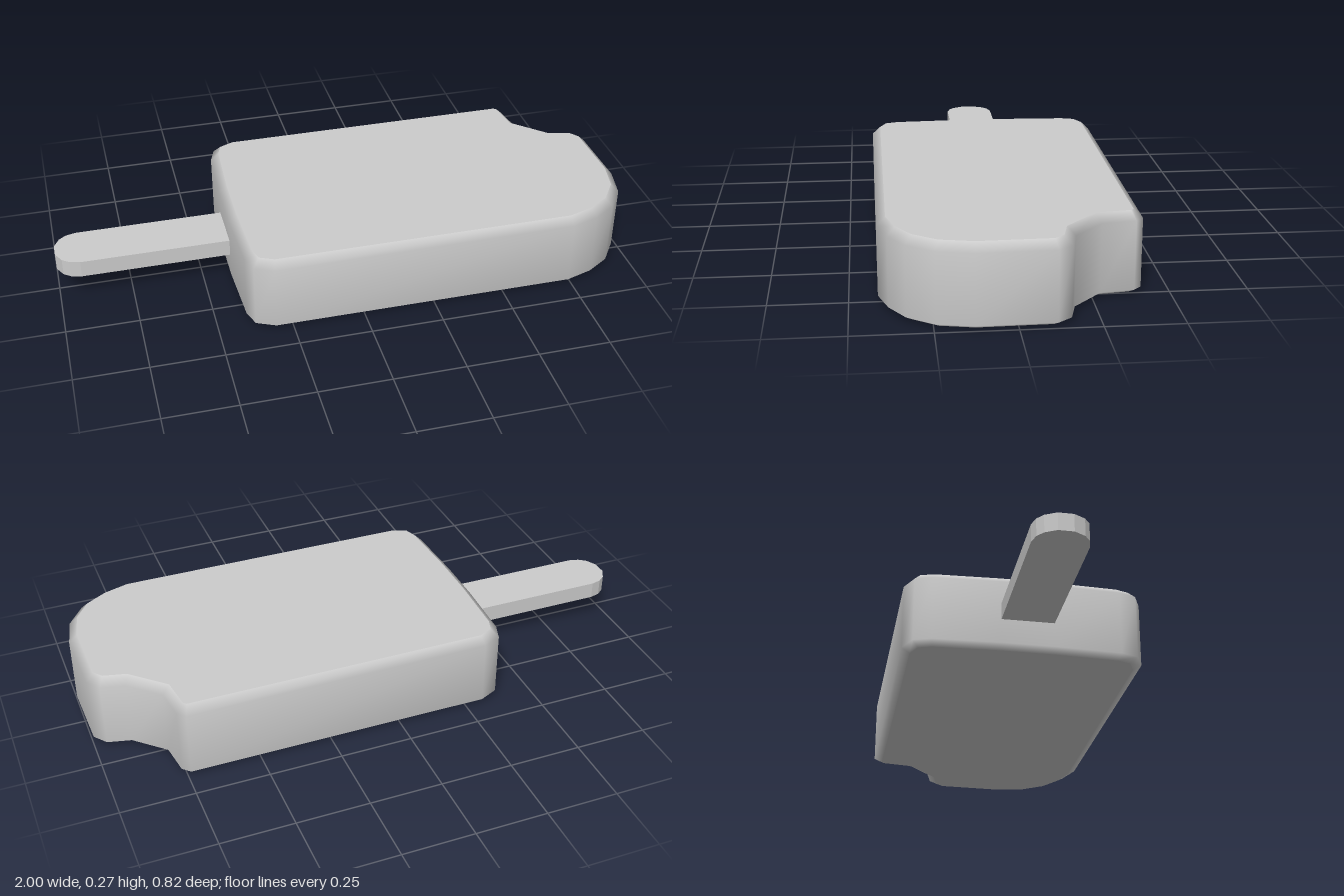
import * as THREE from 'three';

const HEIGHT = 0.27;

// Plan outline of the ice cream, [x, z], clockwise seen from above
const outline = [
  [-0.405, -0.09], [-0.395, -0.32], [-0.375, -0.38], [-0.31, -0.41],
  [0.74, -0.41], [0.765, -0.385], [0.78, -0.275],             // back edge into the bite
  [0.88, -0.18], [0.96, -0.16], [0.995, -0.115],              // bite to the tip
  [1, 0.13], [0.975, 0.245], [0.915, 0.33], [0.835, 0.38], [0.74, 0.41], // rounded front corner
  [-0.31, 0.41], [-0.375, 0.38], [-0.395, 0.32], [-0.405, 0.09],
].map(([x, z]) => new THREE.Vector2(x, -z)).reverse();

// Moves every side of a counter-clockwise outline inwards by d
function inset(points, d) {
  const n = points.length;
  const normal = (a, b) => new THREE.Vector2(b.y - a.y, a.x - b.x).normalize();
  return points.map((p, i) => {
    const n1 = normal(points[(i + n - 1) % n], p);
    const n2 = normal(p, points[(i + 1) % n]);
    const miter = n1.clone().add(n2).divideScalar(1 + n1.dot(n2));
    return p.clone().addScaledVector(miter, -d);
  });
}

// Smooth wall through stacked rings of { points, y }
function wallGeometry(rings) {
  const n = rings[0].points.length;
  const positions = [];
  const index = [];
  rings.forEach(({ points, y }) => points.forEach((p) => positions.push(p.x, y, -p.y)));
  for (let r = 0; r < rings.length - 1; r++) {
    for (let i = 0; i < n; i++) {
      const j = (i + 1) % n;
      const a = r * n + i, b = r * n + j;
      index.push(a, b, b + n, a, b + n, a + n);
    }
  }
  const geometry = new THREE.BufferGeometry();
  geometry.setAttribute('position', new THREE.Float32BufferAttribute(positions, 3));
  geometry.setIndex(index);
  geometry.computeVertexNormals();
  return geometry;
}

export function createModel() {
  const model = new THREE.Group();
  model.name = 'icePop';
  const material = new THREE.MeshStandardMaterial({ color: 0xcccccc });
  const add = (name, geometry, parent) => {
    const mesh = new THREE.Mesh(geometry, material);
    mesh.name = name;
    parent.add(mesh);
    return mesh;
  };

  // Ice cream block: bevelled wall with flat caps
  const block = new THREE.Group();
  block.name = 'iceCream';
  model.add(block);
  const inner = inset(outline, 0.028);
  add('iceCreamSides', wallGeometry([
    { points: inner, y: 0 },
    { points: outline, y: 0.016 },
    { points: outline, y: 0.243 },
    { points: inner, y: HEIGHT },
  ]), block);

  const top = new THREE.ShapeGeometry(new THREE.Shape(inner));
  top.rotateX(-Math.PI / 2).translate(0, HEIGHT, 0);
  add('iceCreamTop', top, block);

  const mirrored = inner.map((p) => new THREE.Vector2(p.x, -p.y)).reverse();
  const bottom = new THREE.ShapeGeometry(new THREE.Shape(mirrored));
  bottom.rotateX(Math.PI / 2);
  add('iceCreamBottom', bottom, block);

  // Wooden stick with a rounded end
  const half = [[-0.35, 0.09], [-0.92, 0.09], [-0.955, 0.081], [-0.98, 0.062], [-1, 0.025]];
  const stickOutline = [
    ...half.map(([x, y]) => new THREE.Vector2(x, y)),
    ...half.map(([x, y]) => new THREE.Vector2(x, -y)).reverse(),
  ];
  const stick = new THREE.ExtrudeGeometry(new THREE.Shape(stickOutline), { depth: 0.06, bevelEnabled: false });
  stick.rotateX(-Math.PI / 2).translate(0, 0.102, 0);
  add('stick', stick, model);

  return model;
}
